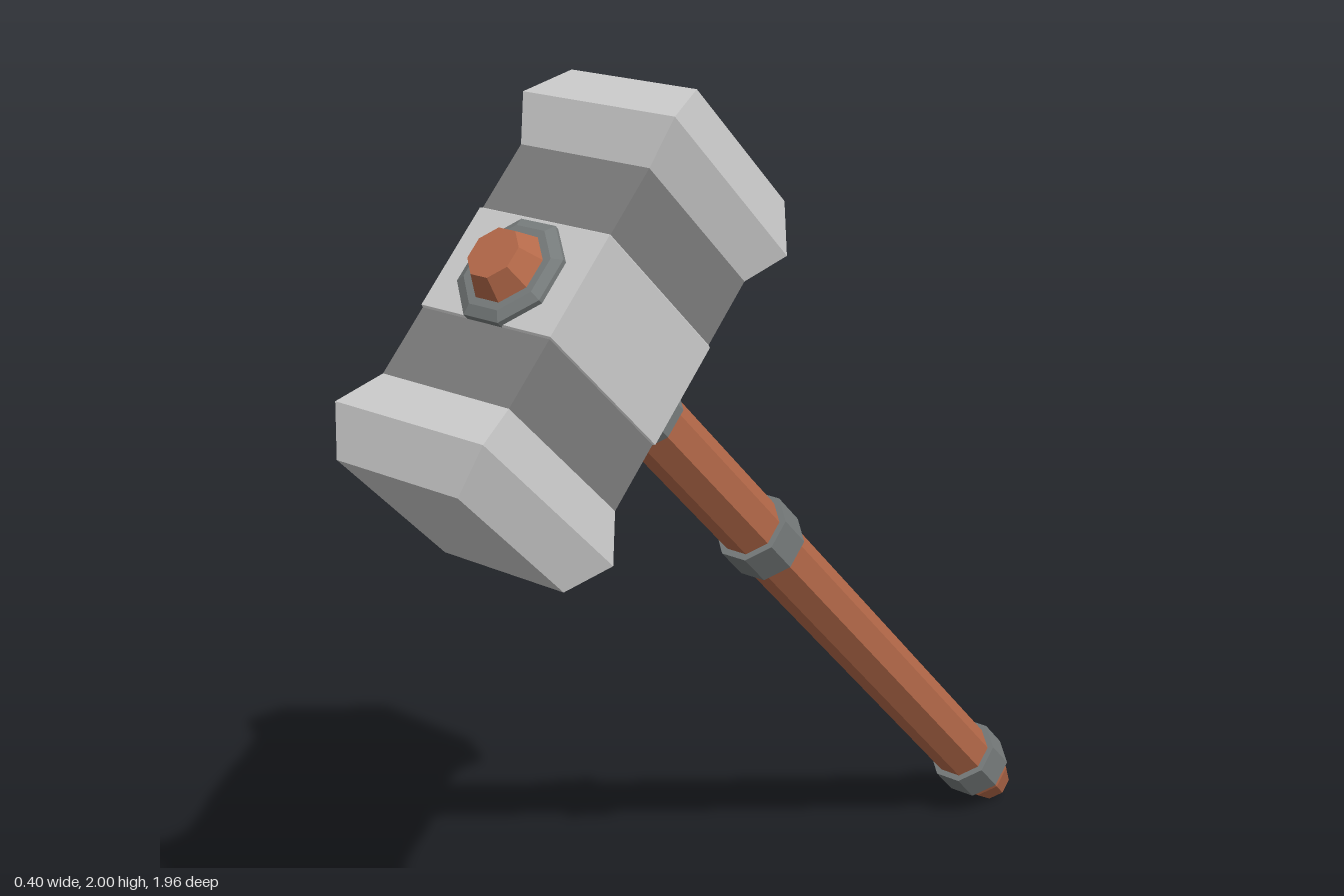
import * as THREE from 'three';

const mat = (color) => new THREE.MeshStandardMaterial({ color, flatShading: true });

function add(parent, name, geometry, material, y = 0, z = 0) {
  const mesh = new THREE.Mesh(geometry, material);
  mesh.name = name;
  mesh.position.set(0, y, z);
  parent.add(mesh);
  return mesh;
}

// Eight-sided turned solid from [radius to flat, height] pairs, flats facing the axes
function octagon(profile) {
  const points = profile.map(([r, y]) => new THREE.Vector2(r / Math.cos(Math.PI / 8), y));
  return new THREE.LatheGeometry(points, 8, Math.PI / 8);
}

// Box whose cross-section changes along z: rings of [z, half width, half height]
function steppedBox(rings) {
  const geometry = new THREE.BoxGeometry(2, 2, 2, 1, 1, rings.length - 1);
  const p = geometry.attributes.position;
  for (let i = 0; i < p.count; i++) {
    const ring = rings[Math.round((p.getZ(i) + 1) / 2 * (rings.length - 1))];
    p.setXYZ(i, p.getX(i) * ring[1], p.getY(i) * ring[2], ring[0]);
  }
  geometry.computeVertexNormals();
  return geometry;
}

export function createModel() {
  const steel = mat(0xcccccc), darkSteel = mat(0x7c7c7c), iron = mat(0x777c7c), wood = mat(0xb66a4a);
  const model = new THREE.Group();
  model.name = 'hammer';

  // Everything is built upright along y, then leaned forward
  const tilted = new THREE.Group();
  tilted.name = 'tiltedHammer';
  tilted.rotation.x = Math.PI / 4;
  model.add(tilted);

  // Head: dark core, centre block and two flared striking ends
  const head = new THREE.Group();
  head.name = 'head';
  head.position.set(0, 1.473, -0.722);
  tilted.add(head);
  add(head, 'headCore', new THREE.BoxGeometry(0.34, 0.38, 0.54), darkSteel);
  add(head, 'centreBlock', steppedBox([
    [-0.118, 0.168, 0.188], [-0.113, 0.173, 0.194], [0.113, 0.173, 0.194], [0.118, 0.168, 0.188],
  ]), steel);
  for (const [name, turn] of [['frontStrikingEnd', 0], ['rearStrikingEnd', Math.PI]]) {
    const end = add(head, name, steppedBox([
      [0.267, 0.17, 0.19], [0.361, 0.2, 0.229], [0.455, 0.165, 0.182],
    ]), steel);
    end.rotation.y = turn;
  }

  // Handle with tapered butt and a knob above the head
  const handle = new THREE.Group();
  handle.name = 'handle';
  handle.position.set(0, 0.545, -0.707);
  handle.rotation.x = -0.0076;
  tilted.add(handle);
  add(handle, 'shaft', octagon([
    [0, -1.19], [0.045, -1.19], [0.065, -1.12], [0.065, 1.0], [0, 1.0],
  ]), wood);
  add(handle, 'knob', octagon([
    [0, 1.0], [0.078, 1.0], [0.078, 1.133], [0.053, 1.19], [0, 1.19],
  ]), wood);

  // Bands around the shaft
  const band = octagon([[0, -0.045], [0.079, -0.045], [0.079, 0.045], [0, 0.045]]);
  [['buttBand', -1.044], ['middleBand', 0.107], ['upperBand', 0.654]]
    .forEach(([name, y]) => add(handle, name, band, iron, y));

  // Bevelled collars where the handle passes through the head
  add(handle, 'collars', octagon([
    [0, 0.709], [0.09, 0.709], [0.11, 0.722], [0.11, 1.132], [0.09, 1.142], [0, 1.142],
  ]), iron);

  return model;
}
